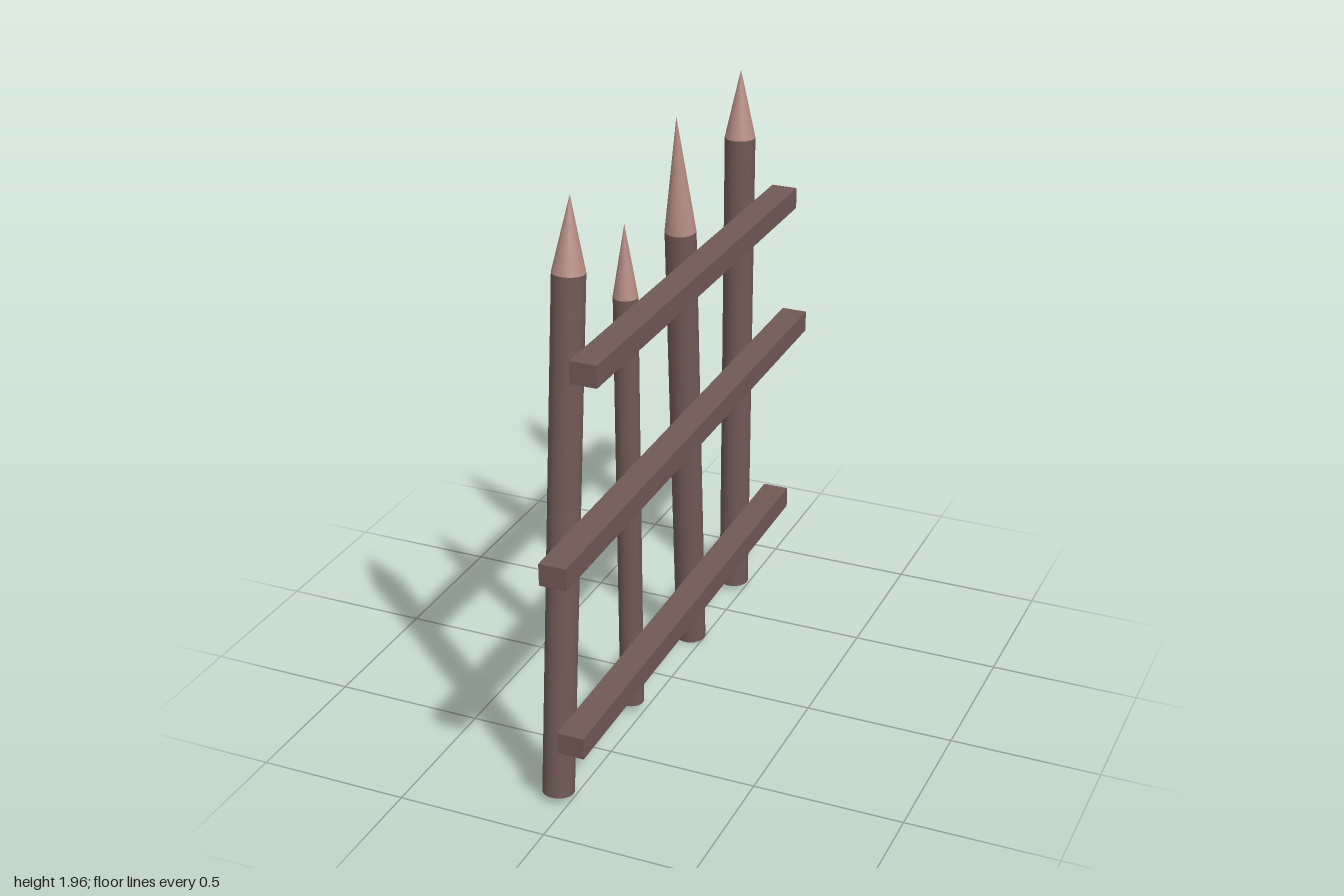
import * as THREE from 'three';

const SIDES = 20;
const POST_X = -0.048;
const RAIL_X = 0.052, RAIL_WIDTH = 0.089, RAIL_HEIGHT = 0.073;

const wood = new THREE.MeshStandardMaterial({ color: 0x705954 });
const cutWood = new THREE.MeshStandardMaterial({ color: 0xb58d84 });

// Stand a y-aligned mesh between two points
function span(mesh, a, b) {
  mesh.position.addVectors(a, b).multiplyScalar(0.5);
  mesh.quaternion.setFromUnitVectors(new THREE.Vector3(0, 1, 0), b.clone().sub(a).normalize());
  return mesh;
}

// Leaning round post with a sharpened point; each argument is [z, y]
function makePost(radius, foot, shoulder, tip) {
  const [a, b, c] = [foot, shoulder, tip].map(([z, y]) => new THREE.Vector3(POST_X, y, z));
  const post = new THREE.Group();
  post.name = 'post';
  const shaft = new THREE.Mesh(new THREE.CylinderGeometry(radius, radius, a.distanceTo(b), SIDES), wood);
  shaft.name = 'postShaft';
  const point = new THREE.Mesh(new THREE.ConeGeometry(radius, b.distanceTo(c), SIDES), cutWood);
  point.name = 'postPoint';
  post.add(span(shaft, a, b), span(point, b, c));
  return post;
}

// Square rail from one [z, y] end to the other
function makeRail([z0, y0], [z1, y1]) {
  const dz = z0 - z1, dy = y0 - y1;
  const rail = new THREE.Mesh(new THREE.BoxGeometry(RAIL_WIDTH, RAIL_HEIGHT, Math.hypot(dz, dy)), wood);
  rail.name = 'rail';
  rail.position.set(RAIL_X, (y0 + y1) / 2, (z0 + z1) / 2);
  rail.rotation.x = -Math.atan2(dy, dz);
  return rail;
}

export function createModel() {
  const fence = new THREE.Group();
  fence.name = 'fence';

  // Posts: radius, foot, shoulder, tip
  const posts = [
    [0.052, [0.793, 0.024], [0.645, 1.73], [0.627, 1.965]],
    [0.04, [0.225, 0.03], [0.249, 1.505], [0.253, 1.745]],
    [0.052, [-0.284, 0.007], [-0.183, 1.57], [-0.148, 1.965]],
    [0.052, [-0.692, 0.02], [-0.696, 1.73], [-0.697, 1.965]],
  ];
  for (const p of posts) fence.add(makePost(...p));

  // Rails: top, middle, bottom
  const rails = [
    [[0.77, 1.474], [-0.869, 1.474]],
    [[0.999, 0.922], [-0.999, 0.961]],
    [[0.905, 0.283], [-0.846, 0.319]],
  ];
  for (const r of rails) fence.add(makeRail(...r));

  return fence;
}
